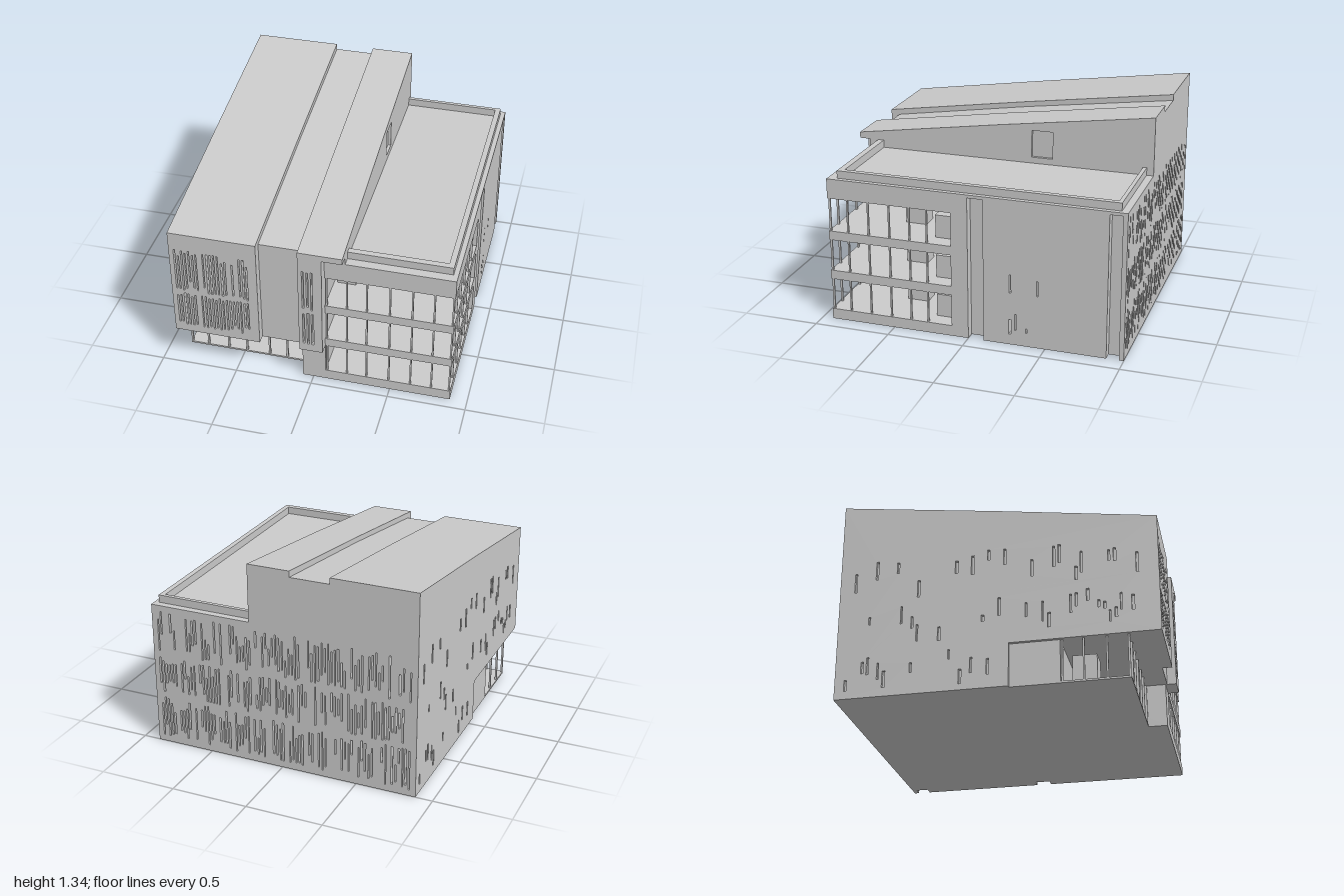
import * as THREE from 'three';

const grey = new THREE.MeshStandardMaterial({ color: 0xcccccc, flatShading: true });

function add(parent, name, geometry) {
  const mesh = new THREE.Mesh(geometry, grey);
  mesh.name = name;
  parent.add(mesh);
  return mesh;
}

// Box given by its min and max on each axis
function box(parent, name, x0, x1, y0, y1, z0, z1) {
  const g = new THREE.BoxGeometry(x1 - x0, y1 - y0, z1 - z0);
  g.translate((x0 + x1) / 2, (y0 + y1) / 2, (z0 + z1) / 2);
  return add(parent, name, g);
}

const rect = (a0, a1, b0, b1) => [[a0, b0], [a1, b0], [a1, b1], [a0, b1]];
const toVectors = (pts) => pts.map(([a, b]) => new THREE.Vector2(a, b));

function extrude(pts, holes, depth) {
  const shape = new THREE.Shape(toVectors(pts));
  for (const h of holes) shape.holes.push(new THREE.Path(toVectors(rect(...h))));
  return new THREE.ExtrudeGeometry(shape, { depth, bevelEnabled: false });
}

// Outline in (z, y) extruded across x
function sideways(parent, name, pts, x0, x1, holes = []) {
  const g = extrude(pts, holes, x1 - x0);
  g.rotateY(-Math.PI / 2);
  g.translate(x1, 0, 0);
  return add(parent, name, g);
}

// Outline in (x, y) extruded across z
function frontal(parent, name, pts, z0, z1, holes = []) {
  const g = extrude(pts, holes, z1 - z0);
  g.translate(0, 0, z0);
  return add(parent, name, g);
}

function seeded(seed) {
  return () => {
    seed = (seed * 16807) % 2147483647;
    return seed / 2147483647;
  };
}

// Irregular tall slots between a0 and a1, kept inside each row [low, high]
function slots(a0, a1, rows, step, keep, minLength, maxLength, rand) {
  const out = [];
  for (const [low, high] of rows) {
    for (let a = a0; a < a1 - step; a += step) {
      const chance = rand(), w = step * (0.3 + 0.25 * rand());
      const length = (high - low) * (minLength + (maxLength - minLength) * rand());
      const y = low + (high - low - length) * rand();
      if (chance < keep) out.push([a, a + w, y, y + length]);
    }
  }
  return out;
}

export function createModel() {
  const model = new THREE.Group();
  model.name = 'building';
  const rand = seeded(4217);
  const part = (name) => {
    const g = new THREE.Group();
    g.name = name;
    model.add(g);
    return g;
  };

  // Tall volume with the sloping roof, in three strips
  const tall = part('slopedVolume');
  const roofLine = [[1, 1.05], [0, 1.2], [-1, 1.34]];
  const back = [[-1, 0.94], [-0.97, 0.94]];
  sideways(tall, 'leftStrip', [[-0.97, 0], [0.39, 0], [0.39, 0.28], [0.97, 0.28], [0.97, 0.94],
    [1, 0.94], ...roofLine, ...back], -0.87, -0.33);
  sideways(tall, 'middleStrip', [[-0.97, 0], [0.39, 0], [0.39, 0.28], [0.94, 0.28],
    [0.94, 1.02], [0, 1.165], [-1, 1.3], ...back], -0.33, -0.07);
  sideways(tall, 'rightStrip', [[-0.97, 0], [0.93, 0], [0.93, 0.28], [0.97, 0.28], [0.97, 0.94],
    [1, 0.94], ...roofLine, ...back], -0.07, 0.08);
  const gable = [[-1, 0.96], [0.93, 0.96], [0.93, 1.01], [1, 1.01], ...roofLine];
  sideways(tall, 'roofOverWing', gable, 0.08, 0.19);
  sideways(tall, 'gableWithDoorway', gable, 0.19, 0.21, [[-0.34, -0.2, 1.0, 1.18]]);

  // Slotted facades
  const facade = part('slottedFacades');
  sideways(facade, 'leftWall', [[-1, 0], [0.08, 0], [0.08, 0.28], [1, 0.28], ...roofLine],
    -0.89, -0.87, [
      ...slots(-0.94, 0, [[0.03, 0.28]], 0.034, 0.4, 0.15, 0.5, rand),
      ...slots(-0.94, 0.95, [[0.33, 0.6], [0.64, 0.93]], 0.034, 0.4, 0.15, 0.5, rand),
    ]);
  frontal(facade, 'backWall', rect(-0.87, 0.89, 0, 0.94), -1, -0.97,
    slots(-0.85, 0.87, [[0.04, 0.32], [0.34, 0.61], [0.63, 0.92]], 0.022, 0.75, 0.35, 1, rand));
  frontal(facade, 'frontLeftScreen', rect(-0.87, -0.33, 0.28, 0.94), 0.97, 1,
    slots(-0.86, -0.36, [[0.33, 0.59], [0.61, 0.93]], 0.023, 0.88, 0.75, 1, rand));
  frontal(facade, 'frontFin', rect(-0.07, 0.08, 0.28, 0.94), 0.97, 1,
    slots(-0.045, 0.06, [[0.32, 0.59], [0.61, 0.92]], 0.028, 1, 0.85, 1, rand));

  // Lower wing: solid rear, grooved side wall, flat roof with parapet
  const wing = part('wing');
  box(wing, 'rearCore', 0.08, 0.83, 0, 0.94, -0.97, 0.11);
  sideways(wing, 'sideWall', rect(-0.89, -0.1, 0, 0.94), 0.83, 0.89, [
    [-0.28, -0.27, 0.35, 0.47], [-0.28, -0.265, 0.07, 0.17], [-0.315, -0.305, 0.1, 0.21],
    [-0.455, -0.445, 0.35, 0.45], [-0.385, -0.375, 0.09, 0.12]]);
  box(wing, 'sidePier', 0.83, 0.89, 0, 0.94, 0, 0.11);
  box(wing, 'roofSlab', 0.08, 0.89, 0.94, 0.96, -1, 0.93);
  const parapet = extrude(rect(0.08, 0.86, -0.87, 0.955), [[0.1, 0.825, -0.83, 0.93]], 0.05);
  parapet.rotateX(-Math.PI / 2);
  parapet.translate(0, 0.96, 0);
  add(wing, 'parapet', parapet);

  // Open corner floors with slabs, mullions and furniture
  const floors = part('openFloors');
  for (const [y0, y1] of [[0, 0.07], [0.28, 0.34], [0.55, 0.61], [0.83, 0.94]]) {
    box(floors, 'floorSlab', 0.08, 0.89, y0, y1, 0.11, 0.93);
  }
  for (const [y0, y1] of [[0.07, 0.28], [0.34, 0.55], [0.61, 0.83]]) {
    for (const x of [0.09, 0.22, 0.345, 0.49, 0.63, 0.765, 0.88]) {
      box(floors, 'frontMullion', x - 0.005, x + 0.005, y0, y1, 0.912, 0.925);
    }
    for (const z of [0.8, 0.66, 0.52, 0.385, 0.27]) {
      box(floors, 'sideMullion', 0.872, 0.885, y0, y1, z - 0.005, z + 0.005);
    }
    box(floors, 'roomBlock', 0.34, 0.49, y0, y1, 0.11, 0.25);
    box(floors, 'cabinet', 0.1, 0.22, y0, y0 + 0.13, 0.56, 0.69);
    box(floors, 'cabinet', 0.49, 0.6, y0, y0 + 0.14, 0.38, 0.52);
    box(floors, 'cabinet', 0.65, 0.78, y0, y0 + 0.15, 0.11, 0.25);
  }

  // Recessed glazed ground floor below the overhang
  const lobby = part('groundFloorLobby');
  box(lobby, 'lobbyFloor', -0.87, -0.07, 0, 0.012, 0.39, 0.81);
  for (const x of [-0.863, -0.75, -0.61, -0.485, -0.33, -0.21, -0.077]) {
    box(lobby, 'lobbyMullion', x - 0.006, x + 0.006, 0.012, 0.28, 0.795, 0.808);
  }
  for (const z of [0.4, 0.53, 0.67]) {
    box(lobby, 'lobbySideMullion', -0.868, -0.856, 0.012, 0.28, z - 0.006, z + 0.006);
  }
  for (const [x0, x1, h] of [[-0.8, -0.67, 0.2], [-0.48, -0.34, 0.15], [-0.27, -0.14, 0.2]]) {
    box(lobby, 'counter', x0, x1, 0.012, h, 0.45, 0.6);
  }
  return model;
}
